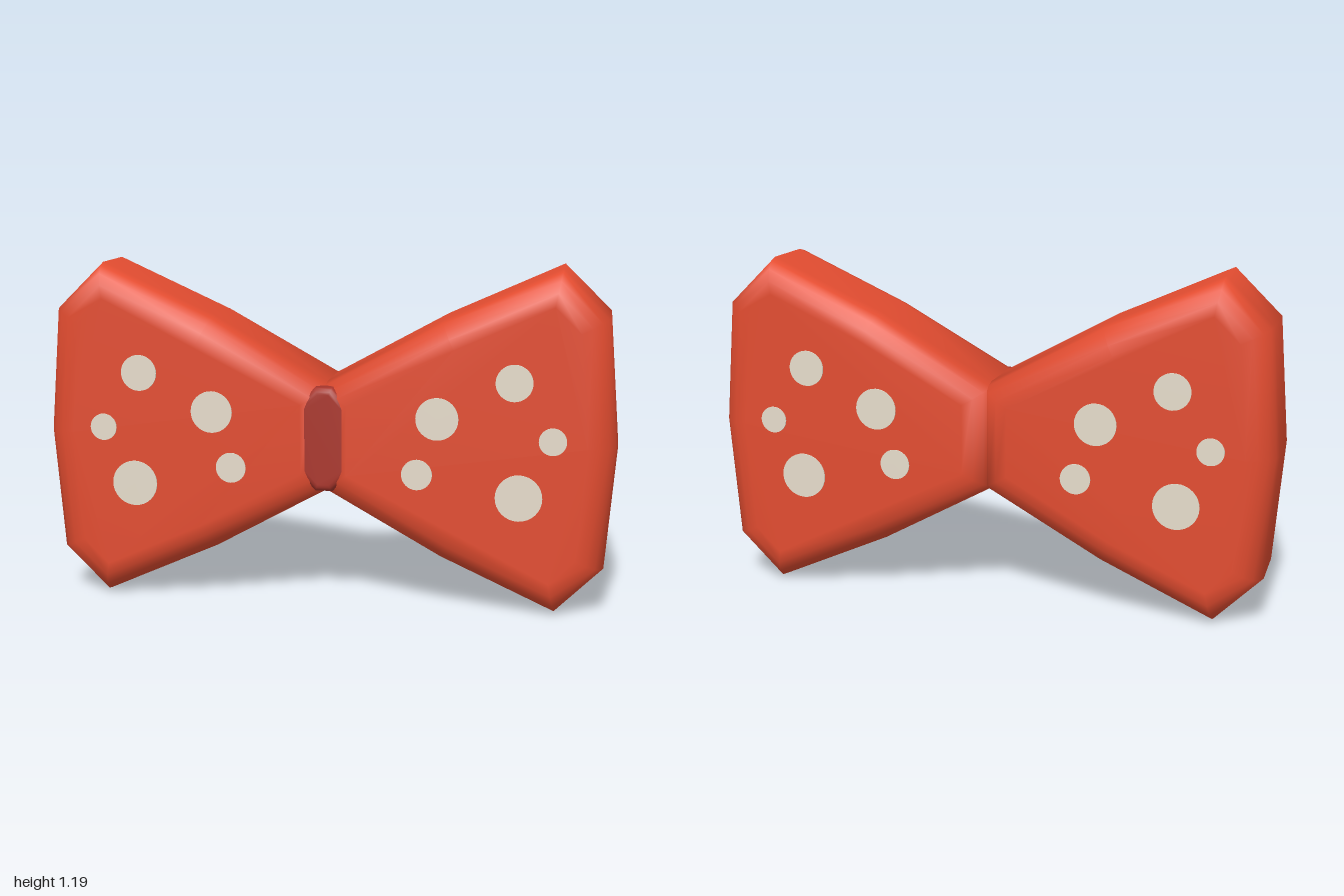
import * as THREE from 'three';
import { mergeVertices } from 'three/addons/utils/BufferGeometryUtils.js';

// Smooth-shaded cushion: an outline extruded from z0 to z1 with a rounded rim
function cushion(points, z0, z1, rim) {
  const shape = new THREE.Shape(points.map(([x, y]) => new THREE.Vector2(x, y)));
  const geo = new THREE.ExtrudeGeometry(shape, {
    depth: z1 - z0 - 2 * rim, steps: 1,
    bevelEnabled: true, bevelThickness: rim, bevelSize: rim, bevelOffset: -rim, bevelSegments: 4,
  });
  geo.translate(0, 0, z0 + rim);
  geo.deleteAttribute('uv');
  geo.deleteAttribute('normal');
  const smooth = mergeVertices(geo, 1e-4);
  smooth.computeVertexNormals();
  return smooth;
}

export function createModel() {
  const bow = new THREE.Group();
  bow.name = 'bowTie';

  const red = new THREE.MeshStandardMaterial({ color: 0xe24c30 });
  red.name = 'red cloth';
  const darkRed = new THREE.MeshStandardMaterial({ color: 0xaa362c });
  darkRed.name = 'dark red knot';
  const cream = new THREE.MeshStandardMaterial({ color: 0xe6dccb });
  cream.name = 'cream dots';

  const add = (name, geo, mat) => {
    const mesh = new THREE.Mesh(geo, mat);
    mesh.name = name;
    bow.add(mesh);
    return mesh;
  };

  const wing = [
    [-0.02, 0.416], [0.4, 0.183], [0.8, 0.003], [0.963, 0.163], [0.998, 0.597],
    [0.963, 1.03], [0.8, 1.19], [0.4, 1.01], [-0.02, 0.778],
  ];
  // x, y, radius
  const dots = [
    [0.65, 0.815, 0.063], [0.392, 0.685, 0.073], [0.782, 0.62, 0.047],
    [0.325, 0.49, 0.053], [0.672, 0.422, 0.08],
  ];
  const halfDepth = 0.206;

  for (const side of [1, -1]) {
    const label = side > 0 ? 'left' : 'right';

    // Wing
    const outline = wing.map(([x, y]) => [x * side, y]);
    add(label + 'Wing', cushion(outline, -halfDepth, halfDepth, 0.1), red);

    // Thin dots on the front and back of the wing
    for (const face of [1, -1]) {
      for (const [x, y, r] of dots) {
        const disc = new THREE.CylinderGeometry(r, r, 0.008, 32).rotateX(Math.PI / 2);
        const dot = add(label + (face > 0 ? 'FrontDot' : 'BackDot'), disc, cream);
        dot.position.set(x * side, y, face * halfDepth);
      }
    }
  }

  // Knot, filling the front groove between the wings
  const knot = [
    [-0.03, 0.415], [0.03, 0.415], [0.09, 0.48], [0.09, 0.715],
    [0.03, 0.78], [-0.03, 0.78], [-0.09, 0.715], [-0.09, 0.48],
  ];
  add('knot', cushion(knot, 0, 0.203, 0.025), darkRed);

  return bow;
}
